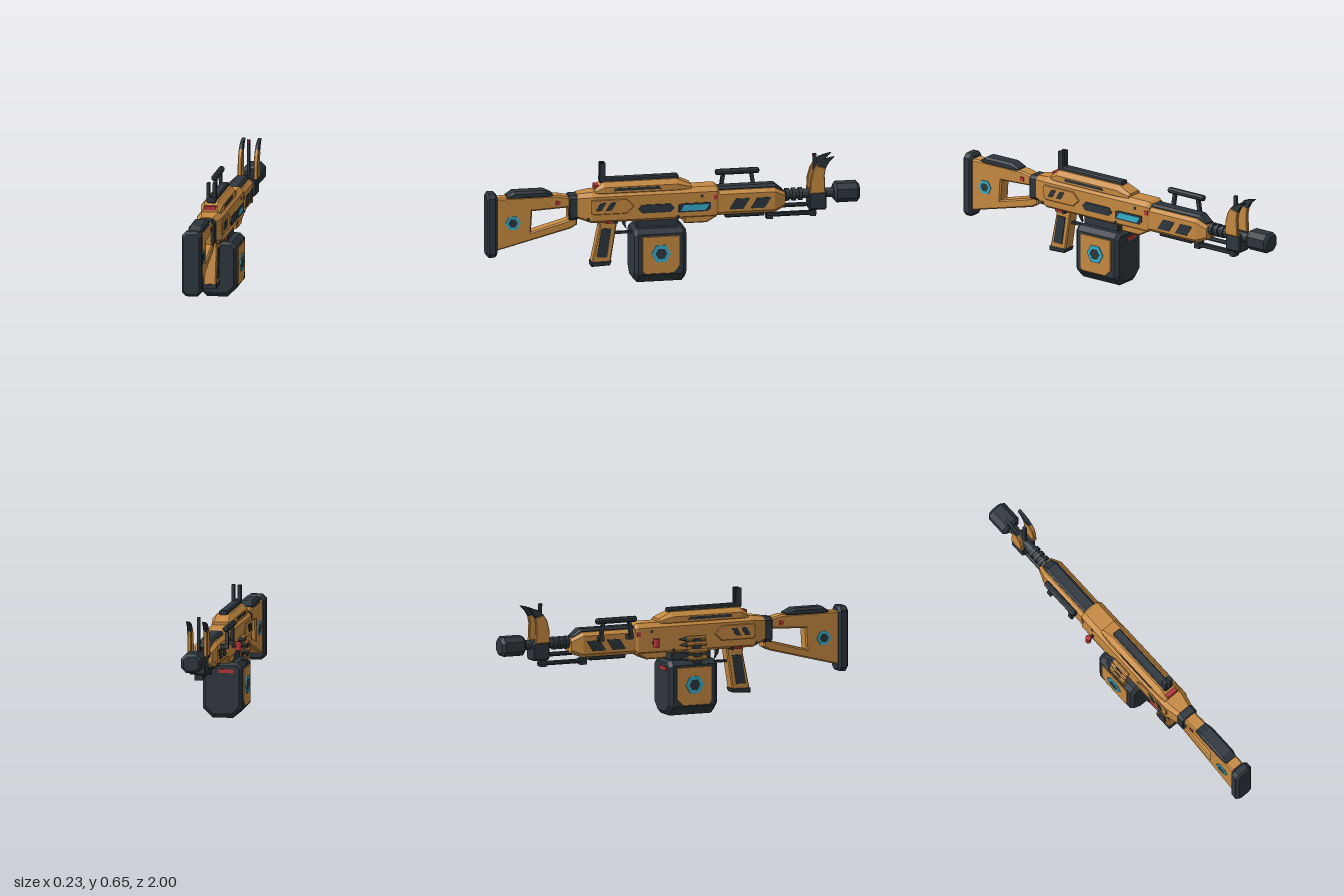
import * as THREE from 'three';

const mat = (name, color) => {
  const m = new THREE.MeshStandardMaterial({ color, flatShading: true });
  m.name = name;
  return m;
};

export function createModel() {
  const ochre = mat('ochre', 0xc68a41), dark = mat('charcoal', 0x2d363d);
  const cyan = mat('cyan', 0x36aecb), red = mat('red', 0xb9353a);
  const root = new THREE.Group();
  root.name = 'toyBlaster';

  const add = (name, geo, m, x = 0, y = 0, z = 0) => {
    const mesh = new THREE.Mesh(geo, m);
    mesh.name = name;
    mesh.position.set(x, y, z);
    root.add(mesh);
    return mesh;
  };

  // Chamfered cross-sections along z: [z, halfWidth, bottom, top, bottomChamfer, topChamfer]
  const loft = (stations) => {
    const rings = stations.map(([z, w, b, t, c, d = c]) => [
      [w - c, b, z], [w, b + c, z], [w, t - d, z], [w - d, t, z],
      [d - w, t, z], [-w, t - d, z], [-w, b + c, z], [c - w, b, z]]);
    const pos = [];
    const tri = (...p) => p.forEach((v) => pos.push(...v));
    const last = rings[rings.length - 1];
    for (let i = 0; i + 1 < rings.length; i++) {
      for (let j = 0; j < 8; j++) {
        const k = (j + 1) % 8, A = rings[i], B = rings[i + 1];
        tri(A[j], A[k], B[k]);
        tri(A[j], B[k], B[j]);
      }
    }
    for (let j = 1; j < 7; j++) {
      tri(last[0], last[j], last[j + 1]);
      tri(rings[0][0], rings[0][j + 1], rings[0][j]);
    }
    const g = new THREE.BufferGeometry();
    g.setAttribute('position', new THREE.Float32BufferAttribute(pos, 3));
    g.computeVertexNormals();
    return g;
  };
  // Box with chamfered long edges and inset ends
  const block = (w, y0, y1, z0, z1, c, e = c * 0.6) => loft([
    [z0, w - e, y0 + e, y1 - e, c * 0.8], [z0 + e, w, y0, y1, c],
    [z1 - e, w, y0, y1, c], [z1, w - e, y0 + e, y1 - e, c * 0.8]]);
  // Side profile [z, y] extruded along x and centred on x = 0
  const plate = (pts, width, bevel = 0, hole = null) => {
    const v = (a) => a.map(([z, y]) => new THREE.Vector2(z, y));
    const s = new THREE.Shape(v(pts));
    if (hole) s.holes.push(new THREE.Path(v(hole)));
    const depth = width - 2 * bevel;
    return new THREE.ExtrudeGeometry(s, {
      depth, bevelEnabled: bevel > 0, bevelSize: bevel, bevelThickness: bevel,
      bevelOffset: -bevel, bevelSegments: 1, curveSegments: 6,
    }).translate(0, 0, -depth / 2).rotateY(-Math.PI / 2);
  };
  const both = (name, geo, m, x) => [1, -1].forEach((s) => add(name, geo, m, s * x));
  const box = (name, m, w, h, d, x, y, z) => add(name, new THREE.BoxGeometry(w, h, d), m, x, y, z);
  const rod = (name, m, r, z0, z1, x, y, n = 12) =>
    add(name, new THREE.CylinderGeometry(r, r, z1 - z0, n).rotateX(Math.PI / 2), m, x, y, (z0 + z1) / 2);
  const pin = (name, m, r, len, x, y, z) =>
    add(name, new THREE.CylinderGeometry(r, r, len, 8).rotateZ(Math.PI / 2), m, x, y, z);
  const hex = (z, y, r) => Array.from({ length: 6 }, (_, i) =>
    [z + r * Math.cos(i * Math.PI / 3), y + r * Math.sin(i * Math.PI / 3)]);
  const hexBadge = (z, y, r, x) => {
    both('badgeRing', plate(hex(z, y, r), 0.008, 0, hex(z, y, r * 0.6)), cyan, x);
    both('badgeCentre', plate(hex(z, y, r * 0.6), 0.005), dark, x);
  };

  // Stock
  add('buttPad', block(0.053, 0.168, 0.515, 0.943, 1, 0.022, 0.012), dark);
  add('stock', plate(
    [[0.95, 0.49], [0.62, 0.49], [0.55, 0.475], [0.515, 0.37], [0.515, 0.325], [0.55, 0.305], [0.95, 0.203]],
    0.074, 0.008, [[0.755, 0.41], [0.565, 0.42], [0.56, 0.355], [0.59, 0.345], [0.762, 0.298]]), ochre);
  add('cheekRest', loft([[0.645, 0.034, 0.485, 0.497, 0.004], [0.69, 0.04, 0.485, 0.52, 0.004, 0.012],
    [0.855, 0.04, 0.485, 0.52, 0.004, 0.012], [0.89, 0.034, 0.485, 0.497, 0.004]]), dark);
  add('stockCollar', block(0.05, 0.35, 0.485, 0.512, 0.56, 0.016, 0.004), dark);
  hexBadge(0.86, 0.352, 0.041, 0.038);
  both('stockMarker', plate([[0.628, 0.438], [0.628, 0.46], [0.605, 0.46], [0.605, 0.438]], 0.006), red, 0.038);

  // Receiver
  add('receiver', loft([[-0.24, 0.06, 0.35, 0.49, 0.012, 0.02], [-0.225, 0.068, 0.335, 0.5, 0.012, 0.024],
    [0.44, 0.068, 0.335, 0.5, 0.012, 0.024], [0.515, 0.05, 0.36, 0.49, 0.012, 0.02]]), ochre);
  add('receiverFrontBlock', plate(
    [[-0.055, 0.35], [-0.055, 0.308], [-0.175, 0.308], [-0.225, 0.337], [-0.225, 0.35]], 0.126, 0.006), ochre);
  add('topCover', loft([[-0.095, 0.05, 0.49, 0.515, 0.003, 0.012], [-0.02, 0.058, 0.49, 0.548, 0.003, 0.024],
    [0.375, 0.058, 0.49, 0.548, 0.003, 0.024], [0.42, 0.05, 0.49, 0.512, 0.003, 0.012]]), ochre);
  both('coverGroove', plate([[0.32, 0.503], [0.32, 0.518], [0.08, 0.518], [0.065, 0.503]], 0.006), dark, 0.057);
  add('topRail', block(0.024, 0.54, 0.566, -0.03, 0.39, 0.006), dark);
  both('rearPanel', plate([[0.45, 0.455], [0.45, 0.395], [0.435, 0.382], [0.255, 0.382], [0.215, 0.42], [0.255, 0.462], [0.445, 0.462]], 0.012, 0.003), ochre, 0.067);
  const slash = (z, y0, y1, w, lean) => [[z, y0], [z - w, y0], [z - w - lean, y1], [z - lean, y1]];
  [0.422, 0.367].forEach((z) => both('panelSlash', plate(slash(z, 0.403, 0.445, 0.03, 0.025), 0.005), dark, 0.073));
  add('sidePort', plate([[0.195, 0.4], [0.175, 0.423], [0.02, 0.423], [0, 0.4], [0.02, 0.378], [0.175, 0.378]], 0.009), dark, 0.069);
  add('displayFrame', plate([[-0.022, 0.372], [-0.022, 0.412], [-0.04, 0.42], [-0.195, 0.42], [-0.195, 0.385], [-0.175, 0.372]], 0.008), dark, 0.068);
  add('display', plate([[-0.032, 0.38], [-0.05, 0.411], [-0.187, 0.411], [-0.165, 0.38]], 0.008), cyan, 0.07);
  [[-0.148, 0.455, 0.138], [-0.02, 0.35, 0.14], [0.46, 0.357, 0.132]].forEach(([z, y, w]) =>
    pin('screw', dark, 0.009, w, 0, y, z));
  both('receiverMarker', plate([[-0.212, 0.432], [-0.212, 0.456], [-0.232, 0.456], [-0.232, 0.432]], 0.009), red, 0.065);
  both('selector', plate([[0.37, 0.332], [0.37, 0.344], [0.325, 0.344], [0.325, 0.332]], 0.009), red, 0.071);
  pin('selectorPin', dark, 0.009, 0.156, 0, 0.336, 0.315);

  // Sights
  box('rearSightBase', dark, 0.04, 0.02, 0.034, 0, 0.561, 0.375);
  [1, -1].forEach((s) => box('rearSightPost', dark, 0.017, 0.095, 0.03, s * 0.0165, 0.6, 0.375));
  box('rearLatch', red, 0.06, 0.02, 0.022, 0, 0.521, 0.41);
  box('frontSightPost', dark, 0.014, 0.205, 0.018, 0, 0.533, -0.763);
  box('frontSightTip', red, 0.007, 0.012, 0.004, 0, 0.627, -0.753);

  // Handguard
  add('handguard', loft([[-0.6, 0.042, 0.365, 0.44, 0.015], [-0.54, 0.062, 0.34, 0.473, 0.018],
    [-0.235, 0.062, 0.34, 0.473, 0.018]]), ochre);
  add('handguardTop', loft([[-0.59, 0.027, 0.43, 0.452, 0.004], [-0.545, 0.037, 0.45, 0.49, 0.004, 0.012],
    [-0.24, 0.037, 0.45, 0.49, 0.004, 0.012]]), dark);
  [-0.295, -0.41].forEach((z) => both('handguardSlash', plate(slash(z, 0.372, 0.428, 0.075, 0.035), 0.007), dark, 0.062));
  add('handguardRail', block(0.03, 0.318, 0.345, -0.49, -0.28, 0.006), dark);

  // Barrel and muzzle
  rod('barrel', dark, 0.026, -0.9, -0.58, 0, 0.42);
  [-0.615, -0.65, -0.685].forEach((z) => rod('barrelRing', dark, 0.035, z - 0.01, z + 0.01, 0, 0.42));
  rod('gasTube', dark, 0.012, -0.74, -0.58, 0, 0.362, 8);
  add('muzzleBlock', block(0.045, 0.337, 0.438, -0.82, -0.727, 0.01), dark);
  add('muzzle', block(0.055, 0.37, 0.472, -1, -0.862, 0.026, 0.014), dark);
  rod('muzzleBore', dark, 0.022, -1, -0.98, 0, 0.421);

  // Folded support under the barrel
  box('supportFoot', dark, 0.044, 0.034, 0.035, 0, 0.314, -0.52);
  [1, -1].forEach((s) => rod('supportLeg', dark, 0.01, -0.77, -0.51, s * 0.013, 0.316, 8));
  box('supportMount', dark, 0.044, 0.05, 0.03, 0, 0.325, -0.752);

  // Horns
  both('horn', plate([[-0.728, 0.43], [-0.732, 0.5], [-0.745, 0.55], [-0.766, 0.583],
    [-0.815, 0.567], [-0.808, 0.53], [-0.812, 0.43]], 0.022, 0.004), ochre, 0.043);
  both('hornTip', plate([[-0.764, 0.58], [-0.79, 0.606], [-0.825, 0.618], [-0.86, 0.625],
    [-0.832, 0.597], [-0.814, 0.565]], 0.02, 0.003), dark, 0.043);

  // Side carry handle
  add('handleBar', block(0.016, 0.52, 0.55, -0.485, -0.25, 0.009), dark, -0.095);
  [[-0.285, -0.16], [-0.45, 0.16]].forEach(([z, tilt]) => {
    box('handleLeg', dark, 0.017, 0.1, 0.02, -0.095, 0.48, z).rotation.x = tilt;
    box('handleMount', dark, 0.05, 0.022, 0.024, -0.079, 0.438, z);
  });

  // Charging knob
  pin('chargingShaft', dark, 0.009, 0.05, -0.08, 0.397, -0.137);
  add('chargingKnob', new THREE.CylinderGeometry(0.016, 0.016, 0.047, 12), red, -0.102, 0.398, -0.137);

  // Ammunition belt
  const belt = [[-0.08, 0.405], [-0.092, 0.377], [-0.1, 0.341], [-0.096, 0.304]];
  belt.forEach(([x, y], i) => {
    rod('round', ochre, 0.014, 0.045, 0.155, x, y, 10);
    add('roundTip', new THREE.ConeGeometry(0.013, 0.045, 10).rotateX(-Math.PI / 2), dark, x, y, 0.0225);
    const [nx, ny] = belt[i + 1] || [-0.09, 0.275];
    box('beltLink', dark, 0.02, 0.034, 0.045, (x + nx) / 2, (y + ny) / 2, 0.1);
  });

  // Magazine
  add('magazine', loft([[-0.06, 0.09, 0.022, 0.28, 0.04, 0.02], [-0.04, 0.105, 0, 0.295, 0.05, 0.025],
    [0.2, 0.105, 0, 0.295, 0.05, 0.025], [0.22, 0.09, 0.022, 0.28, 0.04, 0.02]]), dark);
  both('magazinePanel', plate([[0.18, 0.07], [0.18, 0.258], [-0.02, 0.258], [-0.02, 0.09], [0.015, 0.055], [0.165, 0.055]], 0.012, 0.002), ochre, 0.103);
  hexBadge(0.08, 0.164, 0.052, 0.111);
  box('magazineTag', red, 0.08, 0.02, 0.008, -0.02, 0.25, -0.06);
  add('magazineNeck', block(0.05, 0.285, 0.345, -0.025, 0.2, 0.006), dark);

  // Grip and trigger
  add('grip', plate([[0.4, 0.345], [0.395, 0.305], [0.435, 0.11], [0.335, 0.11], [0.3, 0.33], [0.3, 0.345]], 0.068, 0.006), ochre);
  both('gripInsert', plate([[0.385, 0.295], [0.41, 0.14], [0.355, 0.14], [0.332, 0.295]], 0.008), dark, 0.034);
  add('gripCap', plate([[0.438, 0.115], [0.438, 0.09], [0.34, 0.094], [0.33, 0.117]], 0.077, 0.004), dark);
  box('triggerGuard', dark, 0.022, 0.012, 0.12, 0, 0.262, 0.265);
  add('trigger', plate([[0.272, 0.34], [0.265, 0.305], [0.245, 0.278], [0.25, 0.305], [0.25, 0.34]], 0.014), dark);

  return root;
}
